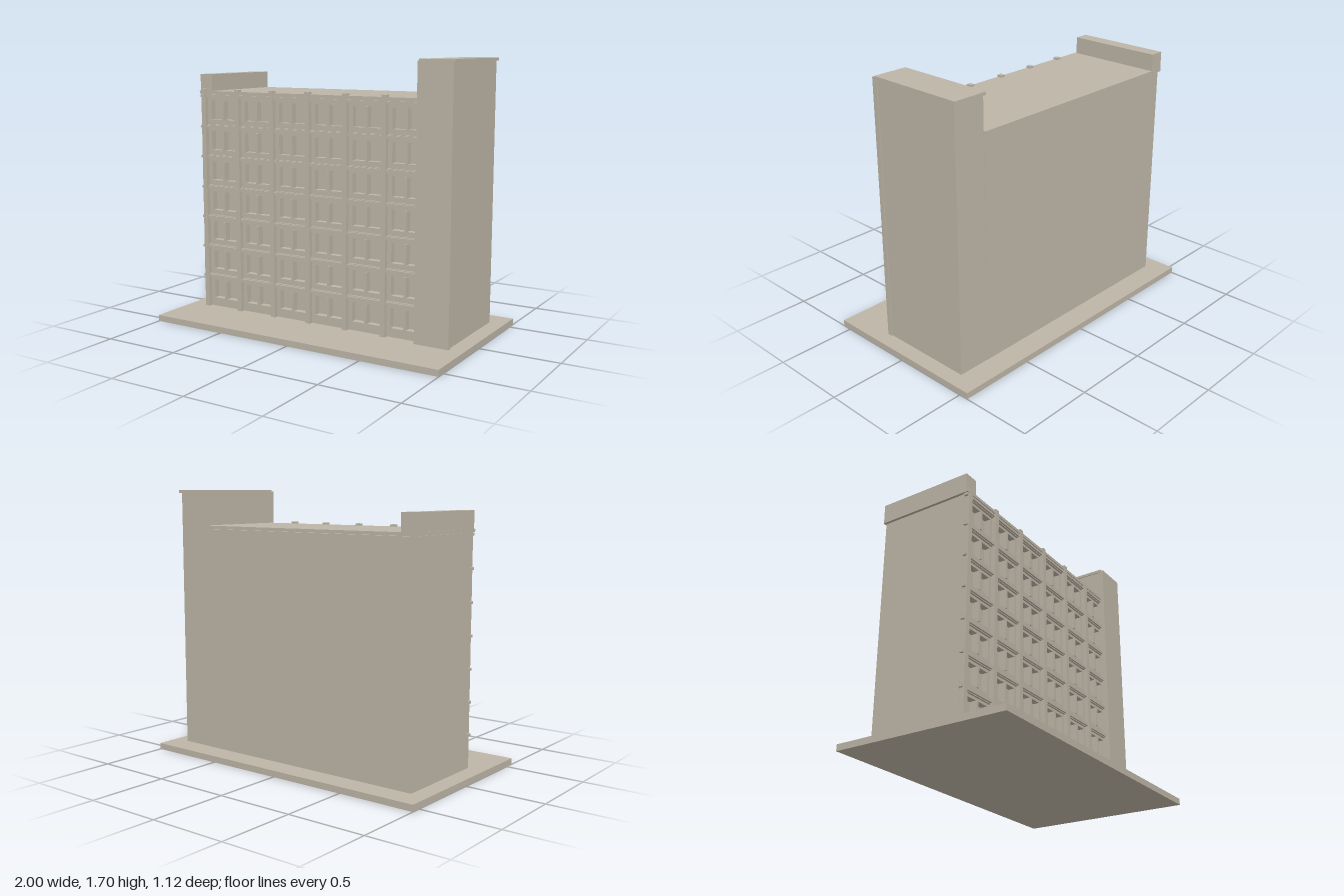
import * as THREE from 'three';

export function createModel() {
  const group = new THREE.Group();
  const concrete = new THREE.MeshStandardMaterial({ color: 0xbdb5a6 });
  concrete.name = 'concrete';

  const add = (name, geometry) => {
    const mesh = new THREE.Mesh(geometry, concrete);
    mesh.name = name;
    group.add(mesh);
    return mesh;
  };
  // Box given by its minimum and maximum on each axis
  const box = (name, x0, x1, y0, y1, z0, z1) =>
    add(name, new THREE.BoxGeometry(x1 - x0, y1 - y0, z1 - z0))
      .position.set((x0 + x1) / 2, (y0 + y1) / 2, (z0 + z1) / 2);
  const rect = (Type, x0, x1, y0, y1) => {
    const r = new Type();
    r.moveTo(x0, y0).lineTo(x1, y0).lineTo(x1, y1).lineTo(x0, y1).closePath();
    return r;
  };

  const floors = 7, bays = 6, storey = 0.2, bay = 0.267;
  const left = -0.89, right = 0.69, ground = 0.04;

  // Ground slab and main block
  box('groundSlab', -1, 1, 0, ground, -0.56, 0.56);
  box('mainBlock', left, right, ground, 1.46, -0.412, 0.145);
  box('roofSlab', -0.905, right, 1.462, 1.482, -0.422, 0.21);
  box('roofParapetBlock', -0.903, -0.81, 1.482, 1.59, -0.422, 0.2);

  // Front wall pierced by window openings
  const wall = rect(THREE.Shape, left, right, ground, 1.462);
  for (let f = 0; f < floors; f++) {
    for (let b = 0; b < bays; b++) {
      const x0 = -0.83 + b * bay, y0 = 0.096 + f * storey;
      const x1 = Math.min(x0 + 0.19, right - 0.002), y1 = y0 + 0.124;
      wall.holes.push(rect(THREE.Path, x0, x1, y0, y1));
      // Projecting fin between the two panes
      box('windowMullion', x0 + 0.087, x0 + 0.103, y0, y1, 0.14, 0.192);
    }
  }
  add('frontWall', new THREE.ExtrudeGeometry(wall, { depth: 0.04, bevelEnabled: false }))
    .position.z = 0.145;

  // Floor beams with thin ledges running past the left corner
  for (let f = 1; f <= floors; f++) {
    const y = 0.05 + f * storey;
    box('floorBeam', left, right, y - 0.013, y + 0.013, 0.18, 0.197);
    box('floorLedge', -0.903, right, y - 0.008, y + 0.008, 0.185, 0.208);
  }

  // Pilasters rising just past the roof
  for (let b = 0; b < bays; b++) {
    const x = -0.873 + b * bay;
    box('pilaster', x - 0.016, x + 0.016, ground, 1.495, 0.18, 0.214);
  }

  // Stair tower with front slab and overhanging cap
  box('stairTower', right, 0.9, ground, 1.685, -0.41, 0.2);
  box('towerFrontSlab', 0.685, 0.908, ground, 1.695, 0.2, 0.233);
  box('towerCap', 0.684, 0.91, 1.685, 1.704, -0.426, 0.215);

  return group;
}
